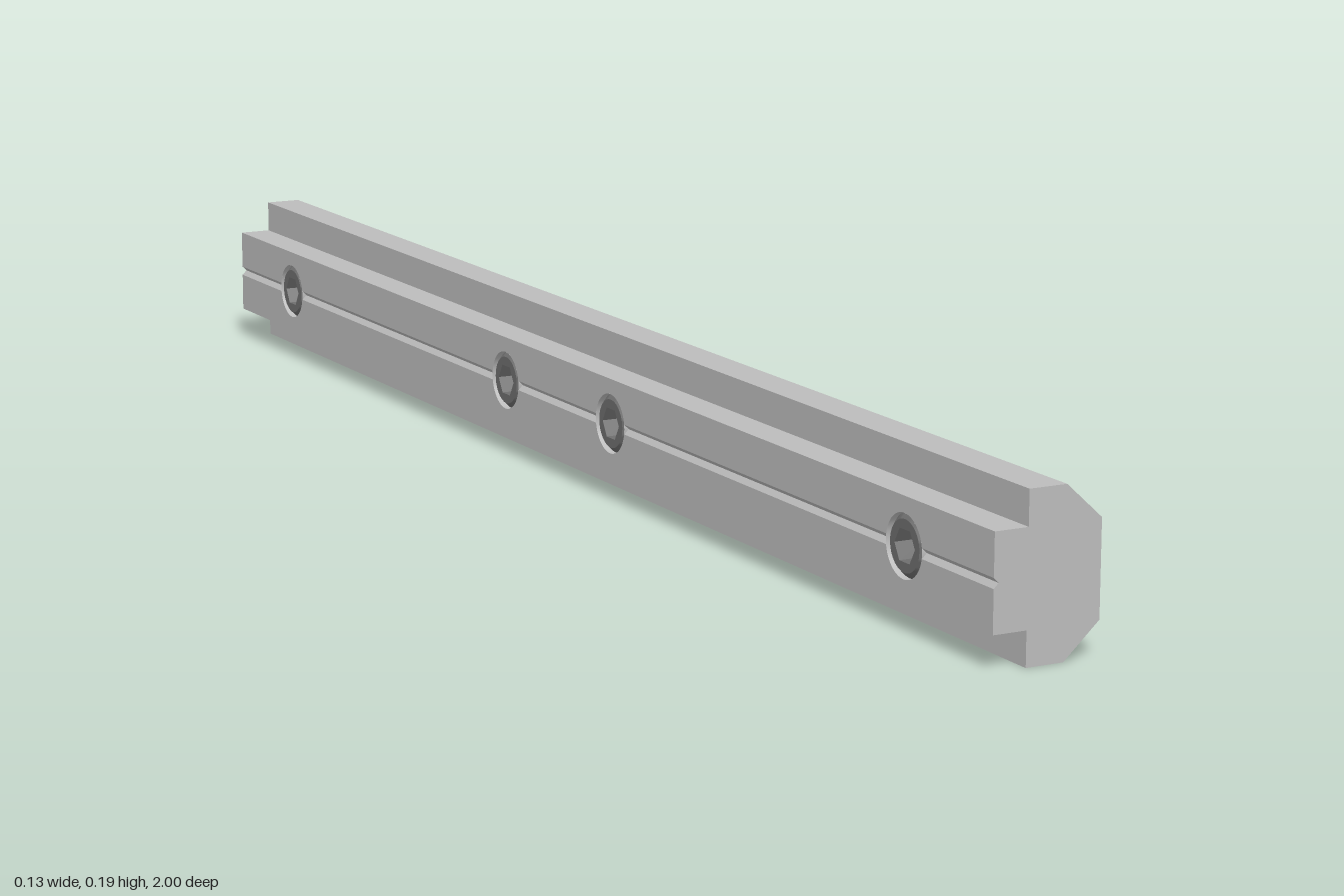
import * as THREE from 'three';
import { toCreasedNormals } from 'three/addons/utils/BufferGeometryUtils.js';

const steel = new THREE.MeshStandardMaterial({ color: 0xbcbcbc, side: THREE.DoubleSide });
steel.name = 'light steel';
const darkSteel = new THREE.MeshStandardMaterial({ color: 0x6e6e6e });
darkSteel.name = 'dark steel';

const HALF_H = 0.097, SIDE = 0.056, X = 0.067; // section sizes
const GROOVE = 0.006, R = 0.037;               // groove half width and hole radius
const holes = [-0.822, -0.143, 0.143, 0.822];  // hole positions along z

// Closed section, counter-clockwise, centred on the hole axis
const half = [[X, SIDE], [0.022, HALF_H], [-0.025, HALF_H], [-0.025, SIDE], [-X, SIDE], [-X, GROOVE]];
const lower = half.map(([x, y]) => [x, -y]).reverse();
const profile = [...half, [-X + GROOVE, 0], ...lower];

function mesh(name, geometry, material, parent) {
  const m = new THREE.Mesh(geometry, material);
  m.name = name;
  parent.add(m);
  return m;
}

// Flat strip between two section points, running from z0 to z1
function strip([ax, ay], [bx, by], z0 = -1, z1 = 1) {
  const g = new THREE.BufferGeometry();
  g.setAttribute('position', new THREE.Float32BufferAttribute(
    [ax, ay, z1, ax, ay, z0, bx, by, z0, bx, by, z1], 3));
  g.setIndex([0, 1, 2, 0, 2, 3]);
  g.computeVertexNormals();
  return g;
}

function circlePath(x, y, r) {
  return new THREE.Path().absarc(x, y, r, 0, Math.PI * 2, true);
}

function buildBar() {
  const bar = new THREE.Group();
  bar.name = 'bar';

  // End caps
  const section = new THREE.Shape(profile.map(([x, y]) => new THREE.Vector2(x, y)));
  for (const z of [-1, 1]) {
    mesh('endCap', new THREE.ShapeGeometry(section).translate(0, 0, z), steel, bar);
  }

  // Long faces of the upper and lower halves
  for (const list of [half, lower]) {
    for (let i = 0; i < list.length - 1; i++) {
      if (list[i][0] === -X && list[i + 1][0] === -X) continue; // drilled face, built below
      mesh('longFace', strip(list[i], list[i + 1]), steel, bar);
    }
  }

  // Wide face with round holes
  const wide = new THREE.Shape();
  wide.moveTo(-1, -SIDE).lineTo(1, -SIDE).lineTo(1, SIDE).lineTo(-1, SIDE).closePath();
  for (const z of holes) wide.holes.push(circlePath(z, 0, R));
  mesh('drilledFace', new THREE.ShapeGeometry(wide, 24).rotateY(Math.PI / 2).translate(X, 0, 0), steel, bar);

  // Grooved face: two strips notched by the holes
  const a = Math.asin(GROOVE / R);
  const notched = new THREE.Shape();
  notched.moveTo(-1, -SIDE).lineTo(1, -SIDE).lineTo(1, -GROOVE);
  for (const z of [...holes].reverse()) notched.absarc(z, 0, R, -a, a - Math.PI, true);
  notched.lineTo(-1, -GROOVE).closePath();
  for (const turn of [0, Math.PI]) {
    const g = new THREE.ShapeGeometry(notched, 24).rotateZ(turn).rotateY(-Math.PI / 2);
    mesh('groovedFace', g.translate(-X, 0, 0), steel, bar);
  }

  // V groove, interrupted at each hole
  const starts = [-1, ...holes.map(z => z + R)];
  const ends = [...holes.map(z => z - R), 1];
  const apex = [-X + GROOVE, 0];
  starts.forEach((z0, i) => {
    mesh('grooveUpper', strip([-X, GROOVE], apex, z0, ends[i]), steel, bar);
    mesh('grooveLower', strip(apex, [-X, -GROOVE], z0, ends[i]), steel, bar);
  });

  // Hole walls, facing inward
  for (const z of holes) {
    const wall = new THREE.LatheGeometry([new THREE.Vector2(R, X), new THREE.Vector2(R, -X)], 48);
    mesh('holeWall', wall.rotateZ(-Math.PI / 2).translate(0, 0, z), steel, bar);
  }
  return bar;
}

// Turned surface about the x axis
function turned(points, sides) {
  const g = new THREE.LatheGeometry(points.map(([r, x]) => new THREE.Vector2(r, x)), sides);
  return toCreasedNormals(g.rotateZ(-Math.PI / 2), 0.5);
}

function buildScrew() {
  const screw = new THREE.Group();
  screw.name = 'setScrew';
  const head = -0.066, tip = 0.037, hexR = 0.021, floor = -0.025;

  // Chamfered body with a flat tip
  mesh('screwBody', turned([[0.03, head], [0.0368, head + 0.007], [0.0368, tip - 0.007], [0.03, tip], [0, tip]], 48), darkSteel, screw);

  // Head ring around the hexagonal socket
  const ring = new THREE.Shape().absarc(0, 0, 0.03, 0, Math.PI * 2, false);
  const hex = [];
  for (let i = 0; i < 6; i++) {
    hex.push(new THREE.Vector2(hexR * Math.cos(i * Math.PI / 3), hexR * Math.sin(i * Math.PI / 3)));
  }
  ring.holes.push(new THREE.Path(hex));
  mesh('screwHead', new THREE.ShapeGeometry(ring, 24).rotateY(-Math.PI / 2).translate(head, 0, 0), darkSteel, screw);
  mesh('hexSocket', turned([[0, floor], [hexR, floor], [hexR, head]], 6), darkSteel, screw);
  return screw;
}

export function createModel() {
  const model = new THREE.Group();
  model.name = 'railConnector';
  const body = new THREE.Group();
  body.name = 'connector';
  body.position.y = HALF_H;
  body.add(buildBar());
  for (const z of holes) {
    const screw = buildScrew();
    screw.position.z = z;
    body.add(screw);
  }
  model.add(body);
  return model;
}
